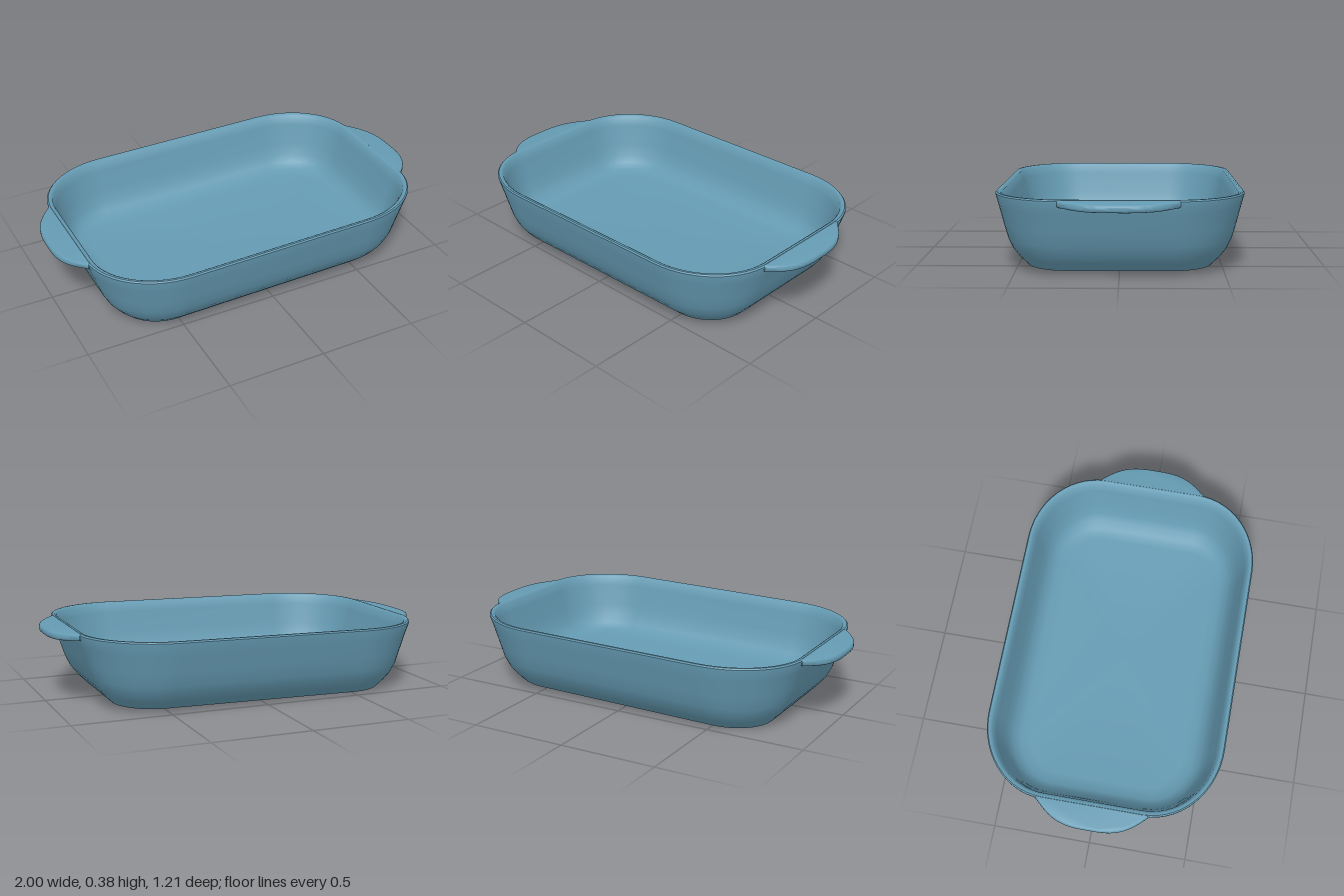
import * as THREE from 'three';
import { toCreasedNormals } from 'three/addons/utils/BufferGeometryUtils.js';

const CORNER_STEPS = 14;

// The whole dish sits slightly tilted, rising towards +x
function tilt(geometry) {
  const p = geometry.attributes.position;
  for (let i = 0; i < p.count; i++) {
    p.setY(i, Math.max(0, p.getY(i) + 0.0155 * (p.getX(i) + 0.72)));
  }
  return geometry;
}

// Rounded rectangle ring: half sizes hx, hz, corner radii rx, rz, at height y
function ring([hx, hz, rx, rz, y]) {
  const points = [];
  const corners = [[1, 1], [-1, 1], [-1, -1], [1, -1]];
  corners.forEach(([sx, sz], c) => {
    for (let i = 0; i <= CORNER_STEPS; i++) {
      const a = (c + i / CORNER_STEPS) * Math.PI / 2;
      points.push(sx * (hx - rx) + rx * Math.cos(a), y, sz * (hz - rz) + rz * Math.sin(a));
    }
  });
  return points;
}

// Skin a stack of rings
function loft(sections) {
  const positions = sections.flatMap(ring);
  const n = 4 * (CORNER_STEPS + 1);
  const index = [];
  for (let k = 0; k < sections.length - 1; k++) {
    for (let i = 0; i < n; i++) {
      const a = k * n + i, b = k * n + (i + 1) % n;
      index.push(a, a + n, b, b, a + n, b + n);
    }
  }
  const g = new THREE.BufferGeometry();
  g.setAttribute('position', new THREE.Float32BufferAttribute(positions, 3));
  g.setIndex(index);
  return toCreasedNormals(tilt(g), 0.75);
}

// Flat grip whose upper side droops towards its tip
function handleGeometry(side) {
  const s = new THREE.Shape();
  s.moveTo(0.875, -0.27);
  s.lineTo(0.885, -0.27);
  s.bezierCurveTo(0.93, -0.22, 0.988, -0.17, 0.988, -0.04);
  s.lineTo(0.988, 0.04);
  s.bezierCurveTo(0.988, 0.17, 0.93, 0.22, 0.885, 0.27);
  s.lineTo(0.875, 0.27);
  s.closePath();
  const g = new THREE.ExtrudeGeometry(s, {
    depth: 0.012, bevelEnabled: true, bevelThickness: 0.011, bevelSize: 0.012,
    bevelOffset: 0, bevelSegments: 4, curveSegments: 14,
  });
  g.rotateX(-Math.PI / 2);
  const p = g.attributes.position;
  for (let i = 0; i < p.count; i++) {
    const out = THREE.MathUtils.clamp((p.getX(i) - 0.87) / 0.13, 0, 1);
    p.setY(i, p.getY(i) + 0.334 - 0.012 * out);
  }
  if (side < 0) g.rotateY(Math.PI);
  return toCreasedNormals(tilt(g), 0.8);
}

export function createModel() {
  const group = new THREE.Group();
  group.name = 'bakingDish';
  const glaze = new THREE.MeshStandardMaterial({ color: 0x659bb3 });
  glaze.name = 'blue glaze';

  const add = (name, geometry) => {
    const mesh = new THREE.Mesh(geometry, glaze);
    mesh.name = name;
    group.add(mesh);
  };

  // One continuous skin: underside, outer wall, rim, inner wall, floor
  add('dishBody', loft([
    [0, 0, 0, 0, 0.032],
    [0.48, 0.2, 0.06, 0.06, 0.032],
    [0.50, 0.22, 0.07, 0.07, 0.022],
    [0.63, 0.36, 0.16, 0.14, 0.016],
    [0.69, 0.415, 0.2, 0.18, 0.0],
    [0.725, 0.445, 0.22, 0.2, 0.0],
    [0.765, 0.49, 0.27, 0.24, 0.042],
    [0.795, 0.52, 0.3, 0.27, 0.08],
    [0.82, 0.545, 0.33, 0.29, 0.13],
    [0.845, 0.566, 0.36, 0.32, 0.2],
    [0.872, 0.588, 0.38, 0.34, 0.29],
    [0.889, 0.602, 0.4, 0.35, 0.34],
    [0.889, 0.603, 0.4, 0.35, 0.35],
    [0.882, 0.597, 0.39, 0.345, 0.357],
    [0.871, 0.586, 0.38, 0.335, 0.357],
    [0.86, 0.575, 0.37, 0.325, 0.349],
    [0.848, 0.562, 0.36, 0.315, 0.3],
    [0.82, 0.535, 0.33, 0.29, 0.19],
    [0.8, 0.515, 0.31, 0.27, 0.13],
    [0.775, 0.49, 0.28, 0.24, 0.09],
    [0.74, 0.455, 0.25, 0.21, 0.064],
    [0.68, 0.4, 0.2, 0.17, 0.055],
    [0, 0, 0, 0, 0.052],
  ]));

  add('leftHandle', handleGeometry(1));
  add('rightHandle', handleGeometry(-1));
  return group;
}
